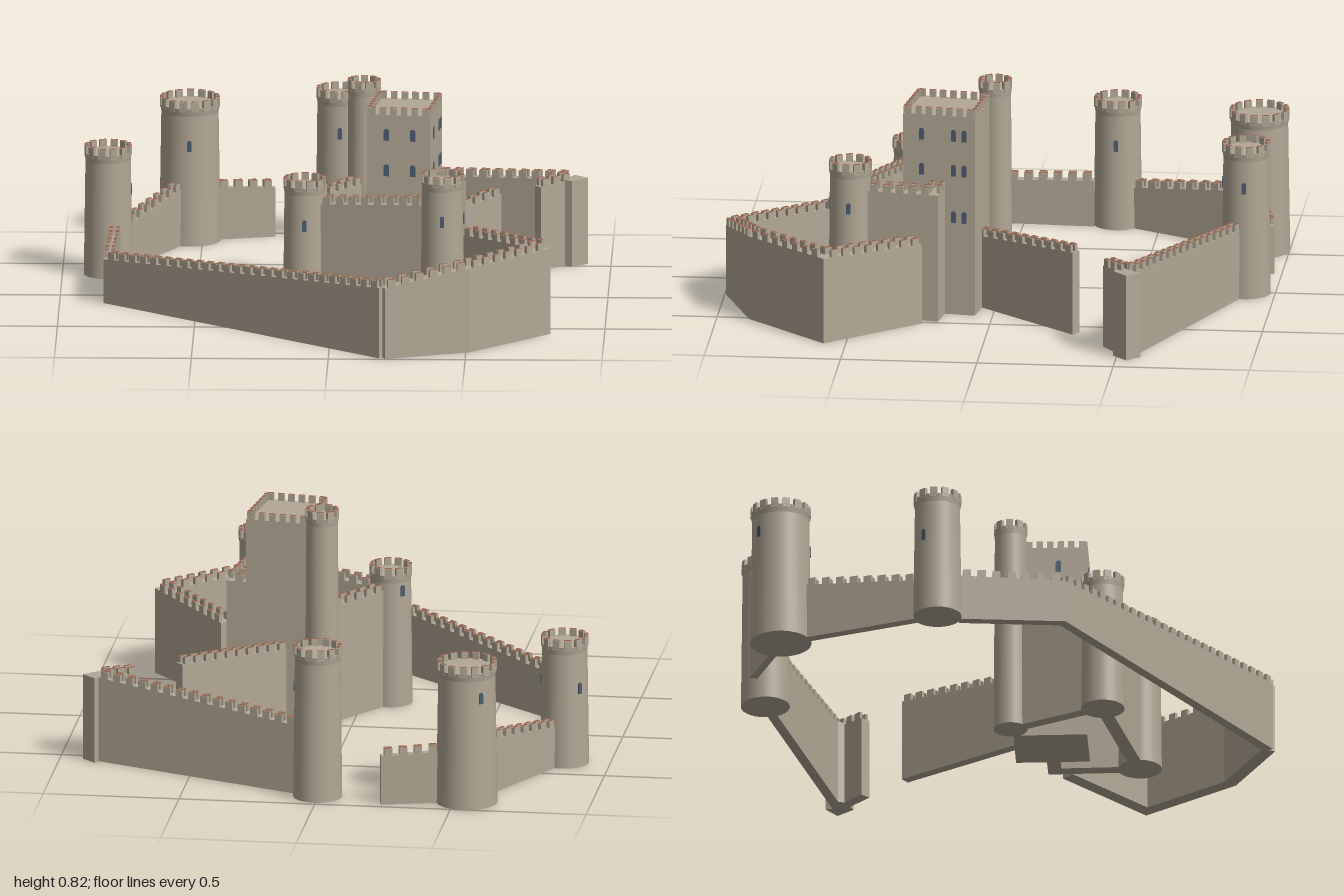
import * as THREE from 'three';
import { mergeGeometries } from 'three/addons/utils/BufferGeometryUtils.js';

const stone = new THREE.MeshStandardMaterial({ color: 0xb3a896 });
stone.name = 'stone';
const redCap = new THREE.MeshStandardMaterial({ color: 0x9a5f4a });
redCap.name = 'merlonCapRed';
const glass = new THREE.MeshStandardMaterial({ color: 0x4c5d70 });
glass.name = 'windowBlue';

const MERLON_H = 0.026;
const MERLON_T = 0.013;

function addMesh(parent, geometry, material, name) {
  const mesh = new THREE.Mesh(geometry, material);
  mesh.name = name;
  parent.add(mesh);
  return mesh;
}

// Collects merlons (stone block plus thin red top face) and merges them
function merlonSet() {
  const blocks = [], caps = [];
  return {
    add(x, y, z, yaw, length) {
      const sink = 0.012;
      blocks.push(new THREE.BoxGeometry(length, MERLON_H + sink, MERLON_T)
        .rotateY(yaw).translate(x, y + (MERLON_H - sink) / 2, z));
      caps.push(new THREE.PlaneGeometry(length, MERLON_T).rotateX(-Math.PI / 2)
        .rotateY(yaw).translate(x, y + MERLON_H + 0.001, z));
    },
    finish(parent) {
      addMesh(parent, mergeGeometries(blocks), stone, 'merlons');
      addMesh(parent, mergeGeometries(caps), redCap, 'merlonCaps');
    },
  };
}

// Arched window plate, bottom centre at the origin, facing +z
function windowGeometry(w = 0.02, h = 0.044) {
  const s = new THREE.Shape();
  s.moveTo(-w / 2, 0);
  s.lineTo(w / 2, 0);
  s.lineTo(w / 2, h - w / 2);
  s.absarc(0, h - w / 2, w / 2, 0, Math.PI, false);
  s.closePath();
  return new THREE.ExtrudeGeometry(s, { depth: 0.006, bevelEnabled: false, curveSegments: 6 })
    .translate(0, -h / 2, -0.003);
}

// Mitred wall along [x, z, height] points; top slopes between the heights
function wall(parent, name, pts, t) {
  const group = new THREE.Group();
  group.name = name;
  parent.add(group);
  const merlons = merlonSet();
  const dirs = pts.slice(1).map((p, i) =>
    new THREE.Vector2(p[0] - pts[i][0], p[1] - pts[i][1]).normalize());
  const sides = pts.map((p, i) => {
    const a = dirs[Math.max(i - 1, 0)], b = dirs[Math.min(i, dirs.length - 1)];
    const m = new THREE.Vector2(-a.y - b.y, a.x + b.x).normalize();
    return m.multiplyScalar(t / 2 / m.dot(new THREE.Vector2(-a.y, a.x)));
  });
  dirs.forEach((d, i) => {
    const geo = new THREE.BoxGeometry(1, 1, 1), pos = geo.attributes.position;
    for (let v = 0; v < pos.count; v++) {
      const k = pos.getX(v) < 0 ? i : i + 1, s = Math.sign(pos.getZ(v));
      pos.setXYZ(v, pts[k][0] + s * sides[k].x, pos.getY(v) < 0 ? 0 : pts[k][2] - MERLON_H,
        pts[k][1] + s * sides[k].y);
    }
    const flat = geo.toNonIndexed();
    flat.computeVertexNormals();
    addMesh(group, flat, stone, 'wallSection');

    const [x0, z0, h0] = pts[i], [x1, z1, h1] = pts[i + 1];
    const n = Math.max(2, Math.round(Math.hypot(x1 - x0, z1 - z0) / 0.052));
    for (let j = 0; j < n; j++) {
      const f = (j + 0.5) / n, y = h0 + (h1 - h0) * f - MERLON_H;
      for (const s of [-1, 1]) {
        const o = s * (t - MERLON_T) / 2;
        merlons.add(x0 + (x1 - x0) * f - d.y * o, y, z0 + (z1 - z0) * f + d.x * o,
          -Math.atan2(d.y, d.x), 0.029);
      }
    }
  });
  merlons.finish(group);
}

// Round tower with a slightly tapered shaft, crown, merlons and windows [yaw, y]
function tower(parent, name, x, z, r, h, windows) {
  const group = new THREE.Group();
  group.name = name;
  group.position.set(x, 0, z);
  parent.add(group);
  const deck = h - MERLON_H;
  addMesh(group, new THREE.CylinderGeometry(r * 0.95, r * 1.02, deck - 0.02, 32), stone, 'shaft')
    .position.y = (deck - 0.02) / 2;
  addMesh(group, new THREE.CylinderGeometry(r, r * 0.95, 0.03, 32), stone, 'crown')
    .position.y = deck - 0.015;
  const merlons = merlonSet();
  const n = Math.round(2 * Math.PI * r / 0.045);
  for (let i = 0; i < n; i++) {
    const a = (i + 0.5) / n * Math.PI * 2, q = r - MERLON_T / 2 - 0.001;
    merlons.add(Math.sin(a) * q, deck, Math.cos(a) * q, a, 0.026);
  }
  merlons.finish(group);
  for (const [yaw, y] of windows) {
    const q = r * (1.02 - 0.07 * y / h);
    const w = addMesh(group, windowGeometry(0.016, 0.042), glass, 'towerWindow');
    w.position.set(Math.sin(yaw) * q, y, Math.cos(yaw) * q);
    w.rotation.y = yaw;
  }
}

// Rectangular keep with crenellated roof and rows of arched windows
function keep(parent) {
  const W = 0.235, D = 0.27, H = 0.78, deck = H - MERLON_H;
  const group = new THREE.Group();
  group.name = 'keep';
  group.position.set(0.261, 0, 0.182);
  group.rotation.y = -0.14;
  parent.add(group);
  addMesh(group, new THREE.BoxGeometry(W, deck, D), stone, 'keepBody').position.y = deck / 2;
  const merlons = merlonSet();
  for (const s of [-1, 1]) {
    for (let i = 0; i < 6; i++)
      merlons.add(((i + 0.5) / 6 - 0.5) * W, deck, s * (D - MERLON_T) / 2, 0, 0.023);
    for (let i = 0; i < 7; i++)
      merlons.add(s * (W - MERLON_T) / 2, deck, ((i + 0.5) / 7 - 0.5) * D, Math.PI / 2, 0.023);
  }
  merlons.finish(group);
  for (const y of [0.68, 0.547, 0.37]) {
    for (const x of [-0.045, 0.052]) {
      const w = addMesh(group, windowGeometry(), glass, 'frontWindow');
      w.position.set(x, y, D / 2);
    }
    for (const z of [0.065, -0.055, -0.095]) {
      const w = addMesh(group, windowGeometry(0.018), glass, 'leftWindow');
      w.position.set(W / 2, y, z);
      w.rotation.y = Math.PI / 2;
    }
    const w = addMesh(group, windowGeometry(), glass, 'rightWindow');
    w.position.set(-W / 2, y, 0.03);
    w.rotation.y = -Math.PI / 2;
  }
}

export function createModel() {
  const castle = new THREE.Group();
  castle.name = 'castle';
  const E = Math.PI / 2, B = Math.PI;

  // Outer towers
  tower(castle, 'largeBackTower', -0.546, -0.89, 0.11, 0.54, [[0, 0.375], [-2.5, 0.42]]);
  tower(castle, 'backTower', 0.003, -0.893, 0.088, 0.575, [[E, 0.42], [0, 0.42]]);
  tower(castle, 'sideTower', -0.833, -0.343, 0.087, 0.485, [[E, 0.32], [-2.3, 0.3]]);

  // Inner towers
  tower(castle, 'innerFrontTower', -0.1, 0.335, 0.078, 0.525, [[0, 0.36], [-2.4, 0.44]]);
  tower(castle, 'innerSideTower', 0.407, 0.52, 0.079, 0.585, [[0, 0.42], [E, 0.42]]);
  tower(castle, 'stairTower', 0.11, 0.017, 0.061, 0.82, []);
  keep(castle);

  // Outer walls
  wall(castle, 'frontOuterWall', [[-0.805, -0.26, 0.2], [-0.82, 0.118, 0.19], [0.198, 0.972, 0.29]], 0.037);
  wall(castle, 'sideOuterWall',
    [[0.198, 0.972, 0.29], [0.5, 0.86, 0.34], [0.768, 0.58, 0.348], [0.495, 0.265, 0.325]], 0.052);
  wall(castle, 'backSideWall', [[-0.59, -0.8, 0.24], [-0.795, -0.41, 0.18]], 0.037);
  wall(castle, 'backStubWall', [[-0.45, -0.907, 0.22], [-0.238, -0.96, 0.21]], 0.028);
  wall(castle, 'backOuterWall', [[0.075, -0.862, 0.285], [0.85, -0.547, 0.345]], 0.037);
  wall(castle, 'gateStubWall', [[0.845, -0.535, 0.345], [0.735, -0.455, 0.335]], 0.04);
  wall(castle, 'crossWall', [[0.255, 0.06, 0.295], [0.59, -0.325, 0.338]], 0.037);

  // Inner walls
  wall(castle, 'innerFrontWall', [[-0.035, 0.357, 0.46], [0.34, 0.492, 0.49]], 0.05);
  wall(castle, 'innerSideWall', [[0.42, 0.45, 0.505], [0.457, 0.213, 0.505], [0.37, 0.2, 0.505]], 0.05);
  wall(castle, 'innerBackWall', [[-0.065, 0.275, 0.465], [0.085, 0.06, 0.465]], 0.045);

  // Pointed gate block at the end of the back wall
  const plan = new THREE.Shape([[0.79, 0.56], [0.85, 0.555], [0.866, 0.588], [0.916, 0.54],
    [0.858, 0.487], [0.8, 0.52]].map(([x, y]) => new THREE.Vector2(x, y)));
  addMesh(castle, new THREE.ExtrudeGeometry(plan, { depth: 0.322, bevelEnabled: false })
    .rotateX(-B / 2), stone, 'gateBlock');

  return castle;
}
